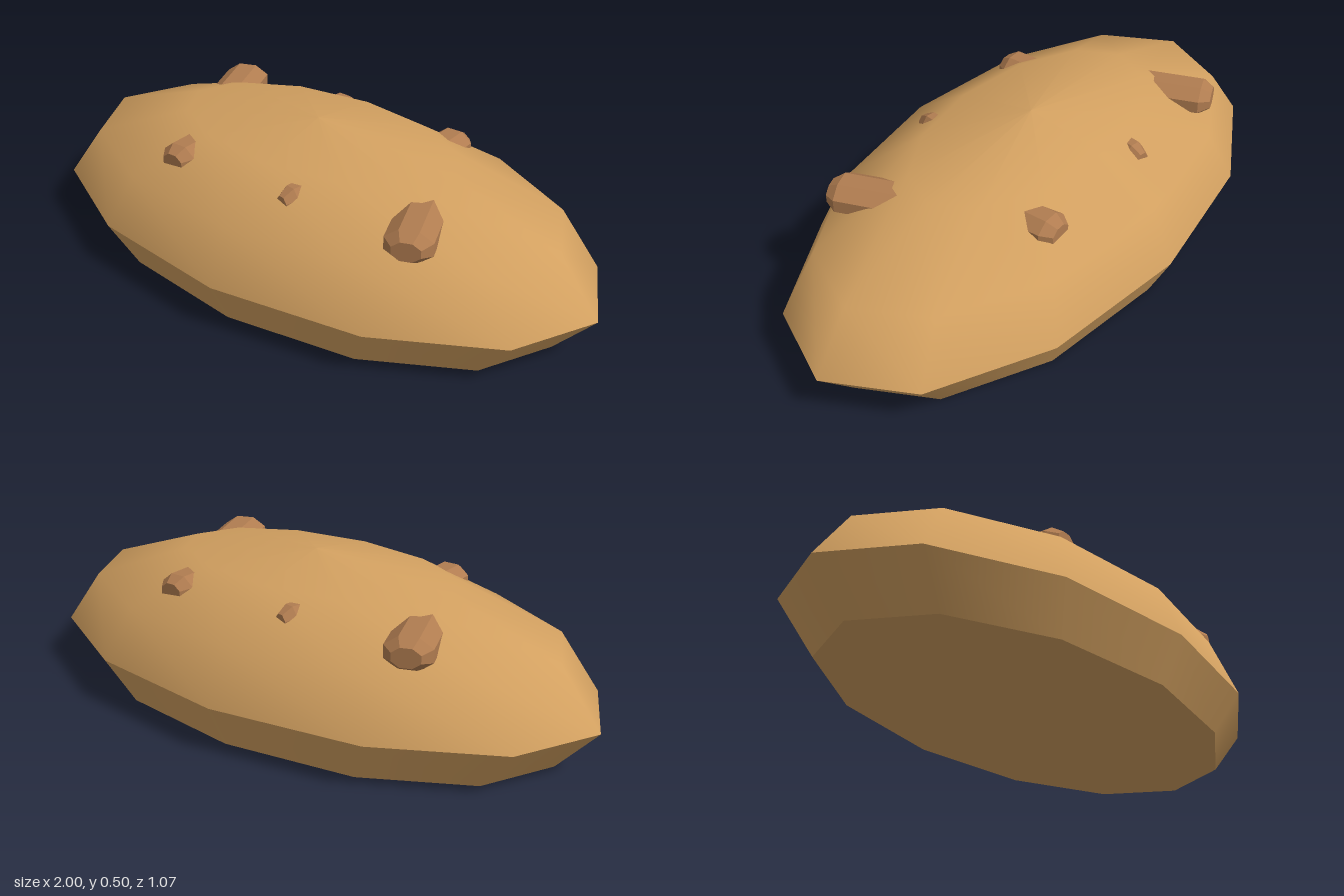
import * as THREE from 'three';

const DEPTH = 0.535; // oval depth relative to width

export function createModel() {
  const model = new THREE.Group();
  const crust = new THREE.MeshStandardMaterial({ color: 0xd2a060 });
  crust.name = 'golden crust';
  const chunk = new THREE.MeshStandardMaterial({ color: 0xb07c50, flatShading: true });
  chunk.name = 'brown chunk';

  const add = (name, geometry, material, parent = model) => {
    const mesh = new THREE.Mesh(geometry, material);
    mesh.name = name;
    parent.add(mesh);
    return mesh;
  };
  const ovalShell = (profile) =>
    new THREE.LatheGeometry(profile.map(([r, y]) => new THREE.Vector2(r, y)), 12).scale(1, 1, DEPTH);

  // Smooth dome, flared lower band and flat base, with a sharp rim between them
  add('dome', ovalShell([[1, 0.145], [0.866, 0.322], [0.5, 0.452], [0, 0.5]]), crust);
  add('lowerBand', ovalShell([[0.866, 0], [1, 0.145]]), crust);
  add('base', new THREE.CircleGeometry(0.866, 12).rotateX(Math.PI / 2).scale(1, 1, DEPTH), crust);

  // Faceted chunk: an eight-sided bar lying along z, its bevelled end at z = 0
  const R = 0.05 / Math.cos(Math.PI / 8);
  const profile = [[0, -0.24], [R, -0.24], [R, -0.035], [R * 0.6, 0], [0, 0]];
  const bar = new THREE.LatheGeometry(
    profile.map(([r, y]) => new THREE.Vector2(r, y)), 8, Math.PI / 8).rotateX(Math.PI / 2);

  // Three chunks per long side, repeated by a half turn: x, z, width, turn
  const places = [
    [0.555, 0.335, 1.45, 0.36],
    [-0.315, 0.34, 1.25, 0],
    [0.12, 0.34, 0.75, -0.2],
  ];
  for (const side of ['front', 'back']) {
    const row = new THREE.Group();
    row.name = side + 'Chunks';
    row.rotation.y = side === 'front' ? 0 : Math.PI;
    places.forEach(([x, z, width, turn], i) => {
      const mesh = add(`${side}Chunk${i + 1}`, bar, chunk, row);
      mesh.position.set(x, 0.38, z);
      mesh.rotation.y = turn;
      mesh.scale.x = width;
    });
    model.add(row);
  }
  return model;
}
